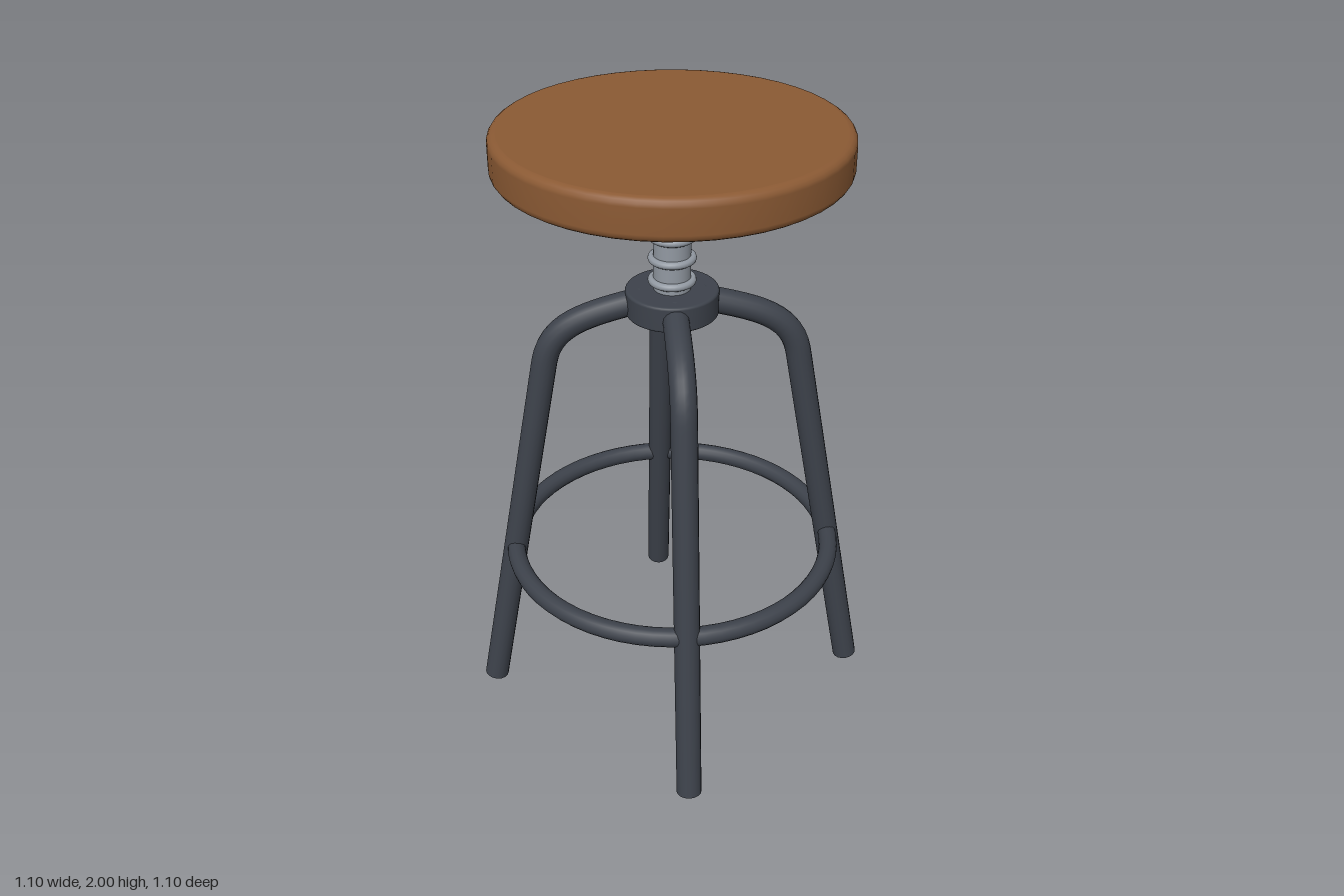
import * as THREE from 'three';

const wood = new THREE.MeshStandardMaterial({ name: 'wood', color: 0x8b5a34 });
const iron = new THREE.MeshStandardMaterial({ name: 'dark iron', color: 0x3d424b });
const steel = new THREE.MeshStandardMaterial({ name: 'steel', color: 0x9299a2 });

function add(parent, name, geometry, material) {
  const mesh = new THREE.Mesh(geometry, material);
  mesh.name = name;
  parent.add(mesh);
  return mesh;
}

// Solid disc with rounded rims; tight extra points keep the flats flat
function roundedDisc(radius, y0, y1, bevel, segments) {
  const e = 0.001;
  const pts = [new THREE.Vector2(0, y0), new THREE.Vector2(radius - bevel - e, y0)];
  for (const [cy, start] of [[y0 + bevel, -Math.PI / 2], [y1 - bevel, 0]]) {
    for (let i = 0; i <= 4; i++) {
      const a = start + (i / 4) * Math.PI / 2;
      pts.push(new THREE.Vector2(radius - bevel + bevel * Math.cos(a), cy + bevel * Math.sin(a)));
    }
  }
  pts.push(new THREE.Vector2(radius - bevel - e, y1), new THREE.Vector2(0, y1));
  return new THREE.LatheGeometry(pts, segments);
}

// Leg: straight splayed shaft, then a bend into the hub
function makeLeg() {
  const leg = new THREE.Group();
  const v = (x, y) => new THREE.Vector3(x, y, 0);
  const foot = v(0.622, 0.007), knee = v(0.397, 1.25);
  const path = new THREE.CurvePath();
  path.add(new THREE.LineCurve3(foot, knee));
  path.add(new THREE.CubicBezierCurve3(knee, v(0.374, 1.38), v(0.285, 1.41), v(0.09, 1.457)));
  add(leg, 'legTube', new THREE.TubeGeometry(path, 60, 0.04, 16), iron);
  const cap = add(leg, 'footCap', new THREE.CircleGeometry(0.04, 16), iron);
  cap.position.copy(foot);
  cap.quaternion.setFromUnitVectors(new THREE.Vector3(0, 0, 1), foot.clone().sub(knee).normalize());
  return leg;
}

export function createModel() {
  const stool = new THREE.Group();
  stool.name = 'stool';

  // Seat and its mounting plate
  add(stool, 'seat', roundedDisc(0.525, 1.875, 2, 0.025, 48), wood);
  add(stool, 'seatPlate', roundedDisc(0.187, 1.795, 1.876, 0.008, 40), iron);

  // Height screw with thread rings
  add(stool, 'screw', new THREE.CylinderGeometry(0.057, 0.057, 0.36, 32), steel).position.y = 1.63;
  for (let i = 0; i < 4; i++) {
    const ring = add(stool, 'threadRing', new THREE.TorusGeometry(0.062, 0.012, 10, 32), steel);
    ring.rotation.x = Math.PI / 2;
    ring.position.y = 1.522 + i * 0.0717;
  }

  // Hub where the legs meet
  add(stool, 'hub', roundedDisc(0.143, 1.412, 1.494, 0.008, 40), iron);

  // Four legs on the diagonals
  for (let i = 0; i < 4; i++) {
    const leg = makeLeg();
    leg.name = 'leg';
    leg.rotation.y = Math.PI / 4 + i * Math.PI / 2;
    stool.add(leg);
  }

  // Round footrest
  const footrest = add(stool, 'footrest', new THREE.TorusGeometry(0.522, 0.03, 14, 64), iron);
  footrest.rotation.x = Math.PI / 2;
  footrest.position.y = 0.565;

  return stool;
}
